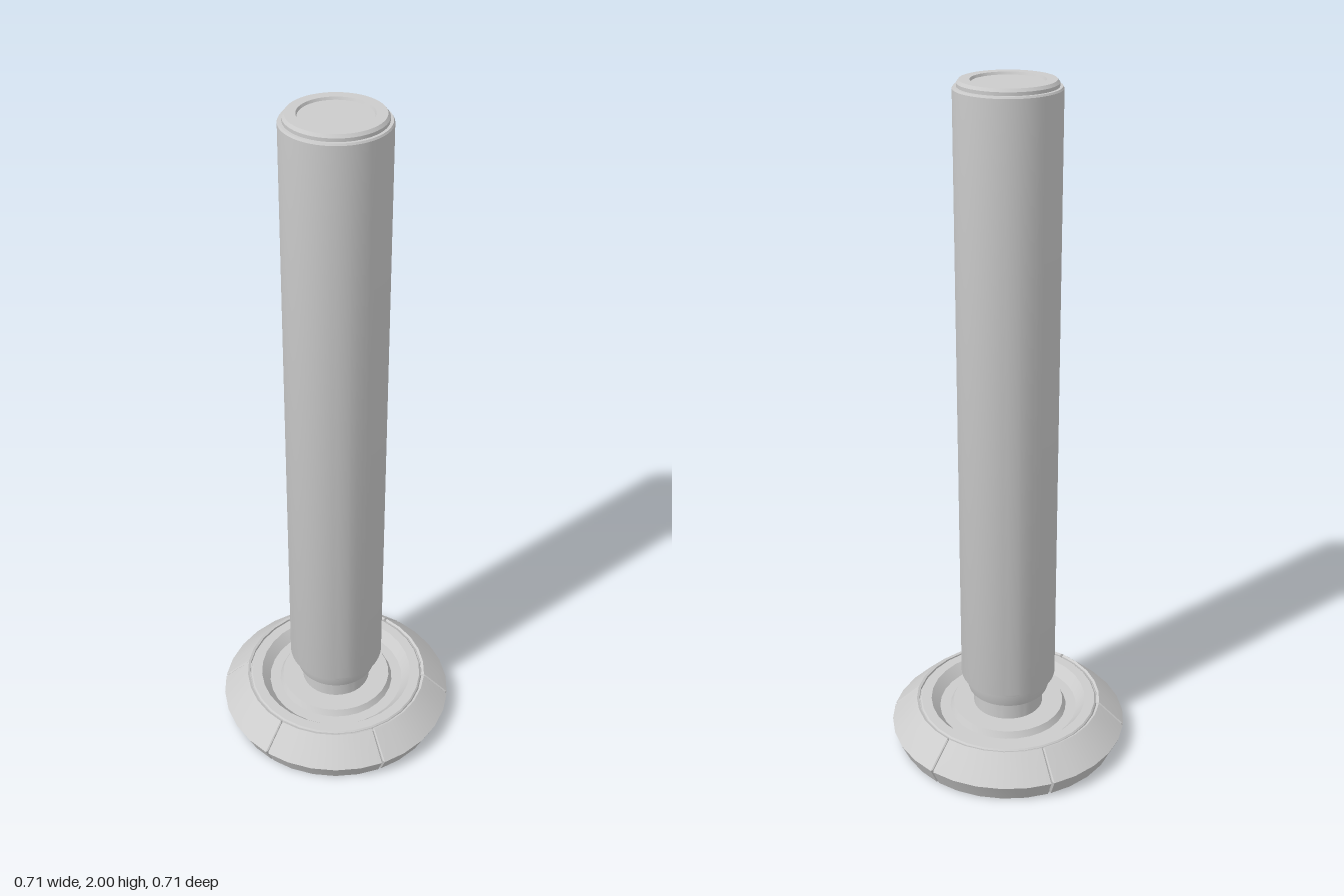
import * as THREE from 'three';
import { toCreasedNormals, mergeVertices } from 'three/addons/utils/BufferGeometryUtils.js';

const material = new THREE.MeshStandardMaterial({ color: 0xcccccc });

function addMesh(group, name, geometry, crease = 0.4) {
  const mesh = new THREE.Mesh(toCreasedNormals(geometry, crease), material);
  mesh.name = name;
  group.add(mesh);
  return mesh;
}

// Turned part; profile runs from the bottom up, as [radius, y] pairs
function turned(group, name, profile, sides) {
  const points = profile.map(([r, y]) => new THREE.Vector2(r, y));
  return addMesh(group, name, new THREE.LatheGeometry(points, sides, Math.PI / 2));
}

// One sixth of the rim: a closed section swept round y, chamfered at both ends
function rimSegment(section, start, sweep, steps) {
  const n = section.length;
  const cr = section.reduce((s, p) => s + p[0], 0) / n;
  const cy = section.reduce((s, p) => s + p[1], 0) / n;
  const gap = 0.003, chamfer = 0.014;
  const rings = [[gap, 0.9], [chamfer, 1]];
  for (let i = 1; i < steps; i++) rings.push([(sweep * i) / steps, 1]);
  rings.push([sweep - chamfer, 1], [sweep - gap, 0.9]);

  const positions = [], index = [];
  for (const [angle, scale] of rings) {
    const a = start + angle;
    for (const [r, y] of section) {
      const rr = cr + (r - cr) * scale;
      positions.push(rr * Math.cos(a), cy + (y - cy) * scale, -rr * Math.sin(a));
    }
  }
  for (let k = 0; k < rings.length - 1; k++) {
    for (let j = 0; j < n; j++) {
      const a = k * n + j, b = k * n + ((j + 1) % n);
      index.push(a, a + n, b, b, a + n, b + n);
    }
  }
  const last = (rings.length - 1) * n;
  for (let j = 1; j < n - 1; j++) {
    index.push(0, j, j + 1, last, last + j + 1, last + j);
  }
  const geometry = new THREE.BufferGeometry();
  geometry.setAttribute('position', new THREE.Float32BufferAttribute(positions, 3));
  geometry.setIndex(index);
  return mergeVertices(geometry);
}

export function createModel() {
  const model = new THREE.Group();
  model.name = 'pedestalColumn';

  // Base: core disc with a dished top and a low raised centre
  turned(model, 'baseDish', [
    [0, 0], [0.325, 0], [0.347, 0.054], [0.28, 0.115], [0.272, 0.115],
    [0.27, 0.122], [0.266, 0.126], [0.236, 0.126], [0.21, 0.096],
    [0.178, 0.096], [0.168, 0.115], [0, 0.115],
  ], 30);

  // Six rim blocks separated by narrow joints
  const section = [
    [0.274, 0], [0.332, 0], [0.357, 0.055], [0.287, 0.122],
    [0.281, 0.127], [0.274, 0.124],
  ];
  const rim = new THREE.Group();
  rim.name = 'rim';
  model.add(rim);
  for (let i = 0; i < 6; i++) {
    const sweep = Math.PI / 3;
    addMesh(rim, 'rimBlock' + (i + 1), rimSegment(section, i * sweep, sweep, 5));
  }

  // Neck joining base and shaft
  turned(model, 'neck', [[0.105, 0.11], [0.105, 0.18]], 64);

  // Tapered collar under the shaft
  turned(model, 'collar', [
    [0, 0.168], [0.112, 0.168], [0.12, 0.173], [0.133, 0.215], [0.133, 0.225],
  ], 64);

  // Long shaft
  turned(model, 'shaft', [
    [0, 0.222], [0.141, 0.222], [0.142, 0.226], [0.142, 1.978],
    [0.139, 1.983], [0, 1.983],
  ], 64);

  // Cap with a shallow round recess
  turned(model, 'cap', [
    [0.131, 1.982], [0.131, 1.992], [0.125, 2], [0.097, 2], [0.094, 1.993], [0, 1.993],
  ], 64);

  return model;
}
